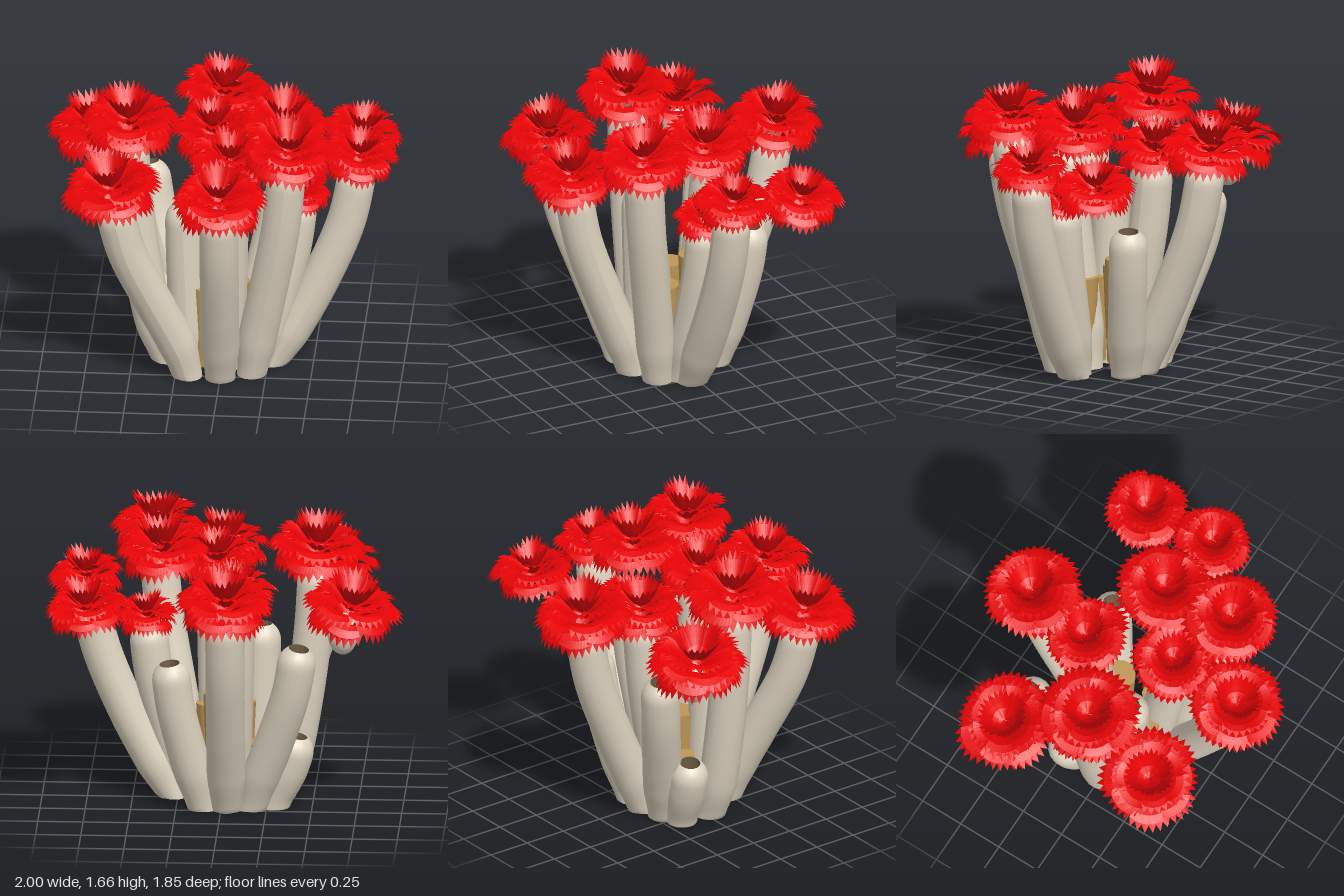
import * as THREE from 'three';
import { mergeGeometries } from 'three/addons/utils/BufferGeometryUtils.js';

const mat = (name, color) => Object.assign(
  new THREE.MeshStandardMaterial({ color, side: THREE.DoubleSide }), { name });

// Small repeatable random source
let seed = 7;
const rand = () => (seed = (seed * 16807) % 2147483647) / 2147483647;
const { smoothstep, lerp } = THREE.MathUtils;

// Tube swept along a path, its radius set by a rule along the length, cut flat at the ground
function sweep(curve, segs, sides, radiusAt) {
  const g = new THREE.TubeGeometry(curve, segs, 1, sides, false);
  const p = g.attributes.position, v = new THREE.Vector3();
  for (let i = 0; i <= segs; i++) {
    const c = curve.getPointAt(i / segs), r = radiusAt(i / segs);
    for (let j = 0; j <= sides; j++) {
      const k = i * (sides + 1) + j;
      v.fromBufferAttribute(p, k).sub(c).multiplyScalar(r).add(c);
      p.setXYZ(k, v.x, i === 0 ? 0 : Math.max(0, v.y), v.z);
    }
  }
  g.computeVertexNormals();
  return g;
}

// Ring of broad petals with toothed tips, following an (r, y) profile
function petalRing(profile, count, teeth) {
  const curve = new THREE.CatmullRomCurve3(profile.map(([r, y]) => new THREE.Vector3(r, y, 0)));
  const rows = 5, cols = teeth * 2, pos = [], idx = [];
  const phase = rand() * 6.28;
  for (let k = 0; k < count; k++) {
    const start = pos.length / 3;
    const lift = (rand() - 0.5) * 0.16, reach = 0.93 + rand() * 0.12;
    for (let i = 0; i <= rows; i++) {
      for (let j = 0; j <= cols; j++) {
        const t = i / rows, v = (j / cols) * 2 - 1;
        let s = t * (1 - 0.1 * v * v * t);
        if (i === rows && j % 2 === 0) s -= 0.18;
        const q = curve.getPoint(s);
        const a = phase + ((k + v * 0.58) / count) * Math.PI * 2;
        const r = q.x * (1 + (reach - 1) * t);
        const y = q.y + lift * t + 0.05 * v * v * t - 0.02 * v;
        pos.push(Math.sin(a) * r, y, Math.cos(a) * r);
        if (i < rows && j < cols) {
          const n = start + i * (cols + 1) + j, m = n + cols + 1;
          idx.push(n, n + 1, m, n + 1, m + 1, m);
        }
      }
    }
  }
  const g = new THREE.BufferGeometry();
  g.setAttribute('position', new THREE.Float32BufferAttribute(pos, 3));
  g.setIndex(idx);
  return g;
}

// Layered bloom of unit radius, from the drooping skirt to the upright cup
function bloomGeometry() {
  const g = mergeGeometries([
    petalRing([[0.2, 0.15], [0.5, 0.34], [0.76, 0.26], [0.9, -0.02]], 7, 6),
    petalRing([[0.15, 0.3], [0.5, 0.54], [0.82, 0.58], [1.07, 0.42]], 8, 6),
    petalRing([[0.1, 0.45], [0.35, 0.66], [0.6, 0.79], [0.86, 0.78]], 7, 5),
    petalRing([[0, 0.55], [0.2, 0.66], [0.36, 0.88], [0.53, 1.16]], 6, 5),
  ]).toNonIndexed();
  g.computeVertexNormals();
  return g;
}

// Foot x, z; mouth x, y, z; bloom radius (0: bare); bend (low: leans out early); floor (0: open)
const WORMS = [
  [0, 0.26, 0.02, 1.18, 0.64, 0.26, 1, 2],
  [0.17, 0.19, 0.38, 1.36, 0.38, 0.265, 1, 2],
  [-0.18, 0.24, -0.58, 1.14, 0.47, 0.27, 1.1, 1],
  [0.27, 0.03, 0.75, 1.2, 0.02, 0.215, 0.8, 1],
  [-0.03, -0.22, -0.04, 1.22, -0.64, 0.265, 0.95, 1],
  [-0.05, -0.1, -0.08, 1.18, -0.27, 0.235, 1, 0],
  [0.02, 0.1, 0.05, 1.23, 0.22, 0.235, 1, 0],
  [0.2, 0.06, 0.42, 0.99, 0.02, 0.18, 0.9, 0],
  [-0.31, 0.03, -0.52, 1.34, 0.03, 0.28, 0.6, 1],
  [0.1, -0.2, 0.28, 0.87, -0.33, 0, 0.9, 1],
  [-0.17, -0.19, -0.44, 0.99, -0.41, 0, 1, 0],
  [-0.18, 0.09, -0.21, 0.98, 0.1, 0, 1, 0],
  [-0.29, -0.15, -0.42, 0.42, -0.19, 0, 1, 0],
];

// Shared bend: share of the height against share of the outward reach
const BEND = [[0, 0], [0.17, 0.16], [0.4, 0.45], [0.72, 0.82], [1, 1]];

export function createModel() {
  const shell = mat('pale tube', 0xded3c0);
  const tan = mat('tan core', 0xbf9656);
  const brown = mat('brown lining', 0x75614a);
  const dark = mat('dark floor', 0x2a2110);
  const red = mat('red petals', 0xe80306);
  const model = new THREE.Group();
  const up = new THREE.Vector3(0, 1, 0);

  const add = (parent, name, geometry, material) => {
    const m = new THREE.Mesh(geometry, material);
    m.name = name;
    parent.add(m);
    return m;
  };
  const addBloom = (parent, position, lean, size) => {
    const flower = add(parent, 'bloom', bloomGeometry(), red);
    flower.quaternion.setFromUnitVectors(up, lean);
    flower.position.copy(position).addScaledVector(lean, -0.03);
    flower.scale.setScalar(size);
  };

  for (const [footX, footZ, x, y, z, bloom, bend, floor] of WORMS) {
    const worm = new THREE.Group();
    worm.name = bloom ? 'bloomingTube' : 'bareTube';
    model.add(worm);
    const curve = new THREE.CatmullRomCurve3(BEND.map(([h, f]) => new THREE.Vector3(
      lerp(footX, x, f ** bend), h * y, lerp(footZ, z, f ** bend))));
    const length = curve.getLength();

    // Outer wall narrows at the foot and rounds in at the mouth
    const wall = (t) => {
      const end = Math.max(0, 1 - ((1 - t) * length) / 0.1);
      return (0.084 + 0.024 * smoothstep(t * length, 0, 0.25)) * Math.sqrt(1 - 0.72 * end * end);
    };
    add(worm, 'tubeWall', sweep(curve, 44, 18, wall), shell);

    // Closed feet
    if (floor) {
      const plate = add(worm, 'footPlate', new THREE.CircleGeometry(0.082, 18), floor === 1 ? dark : tan);
      plate.rotation.x = Math.PI / 2;
      plate.position.set(footX, 0.006, footZ);
    }

    // A bloom leans a little with its tube; a bare tube shows its lining
    if (bloom) {
      addBloom(worm, curve.getPointAt(1), curve.getTangentAt(1).lerp(up, 0.5).normalize(), bloom);
    } else {
      add(worm, 'tubeLining', sweep(curve, 24, 12, () => 0.055), brown);
    }
  }

  // Blooms held out without a long tube of their own
  for (const [x, y, z, size] of [[0.73, 1.13, -0.4, 0.23], [0.33, 1.34, -0.02, 0.265], [-0.72, 1.12, -0.37, 0.275]]) {
    const lean = new THREE.Vector3(x * 0.2, 1, z * 0.2).normalize();
    addBloom(model, new THREE.Vector3(x, y, z), lean, size);
  }

  // Rounded stub under the outermost left-hand bloom
  const stub = add(model, 'bloomStub', new THREE.SphereGeometry(0.085, 18, 12), shell);
  stub.scale.y = 1.4;
  stub.position.set(-0.68, 1.07, -0.37);

  // Tan core between the tubes
  for (const [x, z, h] of [[0.02, -0.11, 0.62], [-0.09, 0.12, 0.48], [0.07, 0.1, 0.5], [-0.1, -0.02, 0.55], [-0.2, -0.1, 0.34]]) {
    const core = add(model, 'core', new THREE.CylinderGeometry(0.085, 0.06, h, 14), tan);
    core.position.set(x, h / 2 + 0.02, z);
  }
  return model;
}
